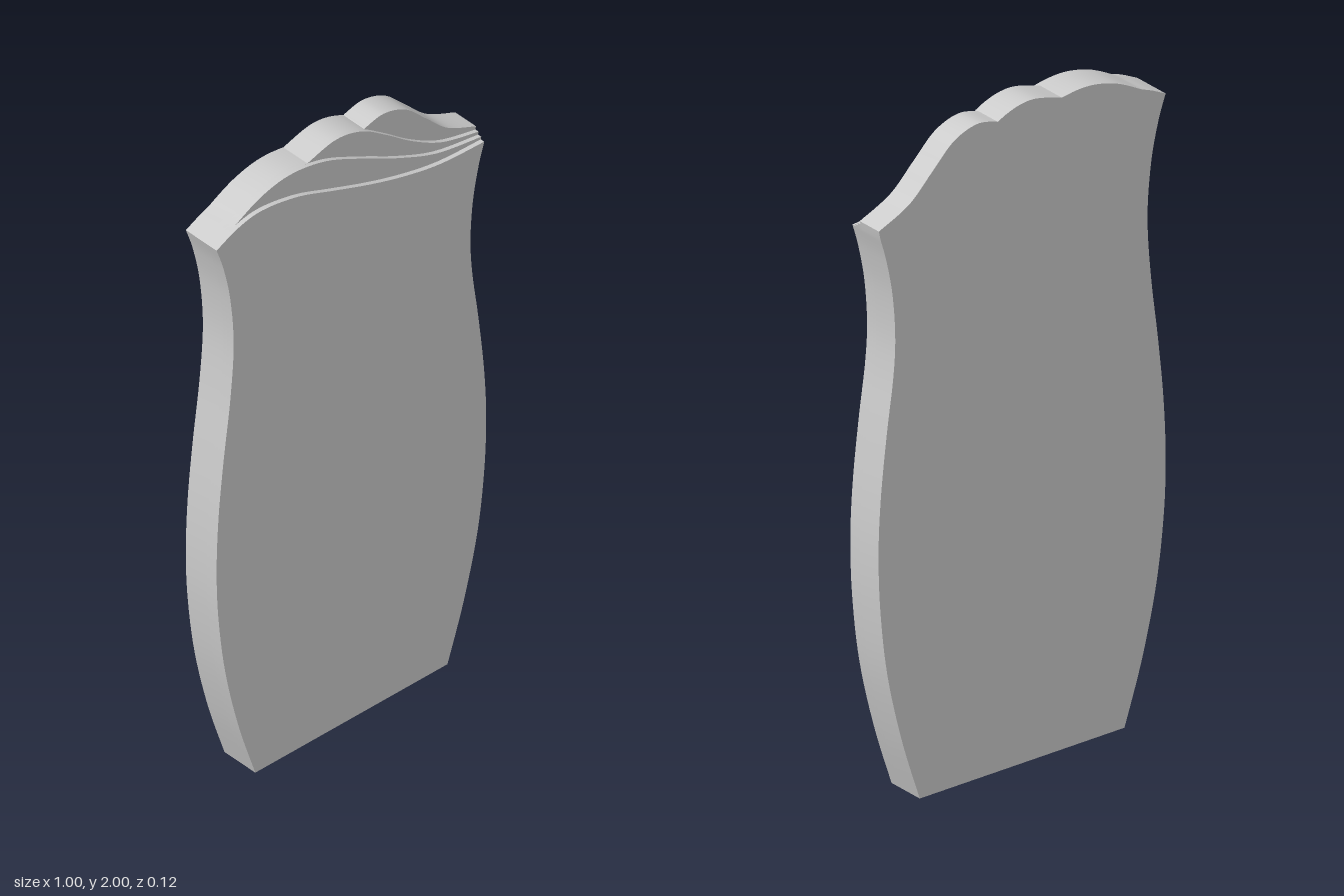
import * as THREE from 'three';
import { toCreasedNormals } from 'three/addons/utils/BufferGeometryUtils.js';

const smooth = (pts, n) =>
  new THREE.SplineCurve(pts.map(([x, y]) => new THREE.Vector2(x, y))).getPoints(n);

// Flanks, listed from the foot upwards
const leftFlank = [[-0.357, 0], [-0.418, 0.19], [-0.467, 0.4], [-0.493, 0.6], [-0.5, 0.77], [-0.493, 0.95],
  [-0.474, 1.14], [-0.449, 1.34], [-0.437, 1.52], [-0.449, 1.68], [-0.474, 1.8], [-0.5, 1.878]];
const rightFlank = [[0.353, 0], [0.414, 0.19], [0.464, 0.4], [0.489, 0.6], [0.496, 0.78], [0.488, 0.95],
  [0.467, 1.14], [0.445, 1.3], [0.438, 1.42], [0.447, 1.55], [0.468, 1.66], [0.489, 1.733]];

// Overlapping crest waves, front to back, each from left to right
const waves = [
  [[-0.5, 1.878], [-0.42, 1.914], [-0.33, 1.928], [-0.2, 1.906], [-0.07, 1.858], [0.06, 1.81], [0.19, 1.77], [0.33, 1.741], [0.489, 1.733]],
  [[-0.42, 1.914], [-0.32, 1.963], [-0.21, 1.982], [-0.08, 1.958], [0.06, 1.893], [0.19, 1.826], [0.33, 1.769], [0.491, 1.741]],
  [[-0.14, 1.974], [-0.035, 2.0], [0.06, 1.979], [0.15, 1.92], [0.25, 1.845], [0.36, 1.784], [0.493, 1.75]],
  [[0.085, 1.97], [0.155, 1.983], [0.235, 1.955], [0.31, 1.885], [0.39, 1.81], [0.495, 1.76]],
].map((w) => smooth(w, 40));

// Front face depth of each wave, then the back of the panel
const depths = [0.062, 0.048, 0.035, 0.022, -0.062];

export function createModel() {
  const group = new THREE.Group();
  const material = new THREE.MeshStandardMaterial({ color: 0xcccccc });

  // Each layer's crest follows every wave in front of it, then its own
  waves.forEach((_, i) => {
    const crest = [];
    for (let k = 0; k <= i; k++) {
      const end = k < i ? waves[k + 1][0].x - 0.002 : Infinity;
      crest.push(...waves[k].filter((p) => p.x < end));
    }
    const outline = [...smooth(rightFlank, 60), ...crest.reverse(), ...smooth(leftFlank, 60).reverse()]
      .filter((p, j, a) => j === 0 || p.distanceTo(a[j - 1]) > 1e-4);
    const geometry = new THREE.ExtrudeGeometry(new THREE.Shape(outline), {
      depth: depths[i] - depths[i + 1], bevelEnabled: false,
    });
    geometry.translate(0, 0, depths[i + 1]);
    const mesh = new THREE.Mesh(toCreasedNormals(geometry, 0.35), material);
    mesh.name = ['frontPanel', 'secondWaveLayer', 'thirdWaveLayer', 'backPanel'][i];
    group.add(mesh);
  });
  return group;
}
